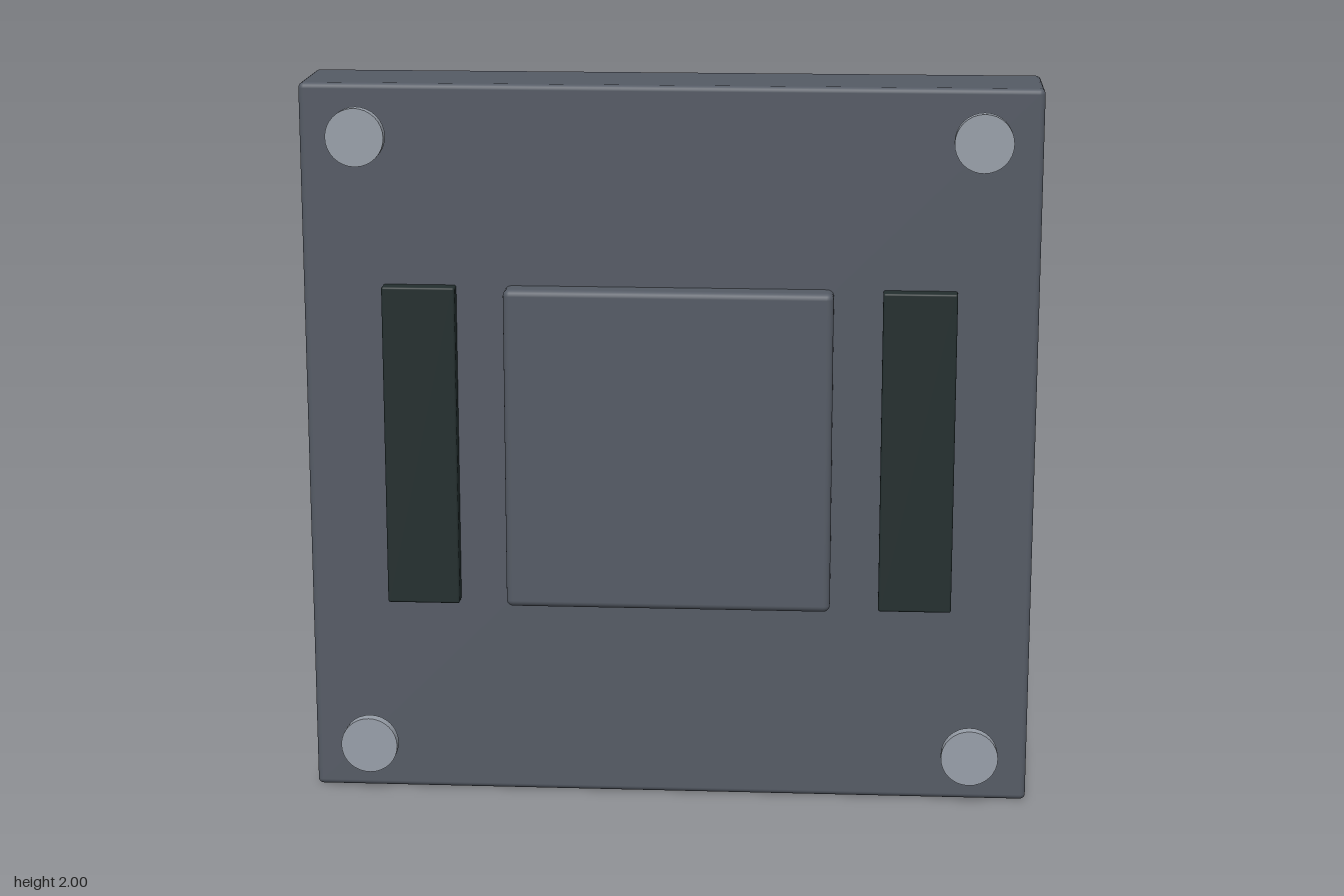
import * as THREE from 'three';
import { RoundedBoxGeometry } from 'three/addons/geometries/RoundedBoxGeometry.js';

const mat = (name, color) => {
  const m = new THREE.MeshStandardMaterial({ color });
  m.name = name;
  return m;
};

export function createModel() {
  const group = new THREE.Group();
  const slate = mat('slate grey', 0x555b65);
  const dark = mat('dark green grey', 0x232e2e);
  const metal = mat('light metal', 0x989fa9);

  const add = (name, geometry, material, x, y, z) => {
    const mesh = new THREE.Mesh(geometry, material);
    mesh.name = name;
    mesh.position.set(x, y, z);
    group.add(mesh);
    return mesh;
  };
  // Rounded block spanning z0..z1
  const block = (name, w, h, z0, z1, r, material, x, y) =>
    add(name, new RoundedBoxGeometry(w, h, z1 - z0, 3, r), material, x, y, (z0 + z1) / 2);

  // Main slab, with a thin dark panel on its back
  block('slab', 2, 2, -0.172, 0.111, 0.015, slate, 0, 1);
  block('backPanel', 1.95, 1.95, -0.18, -0.14, 0.006, dark, 0, 1);

  // Raised square in the middle of the front
  block('centrePlate', 0.894, 0.894, 0.06, 0.177, 0.018, slate, 0, 1.005);

  // Side pads and corner discs, mirrored; the discs stand just off the slab
  const discGeometry = new THREE.CylinderGeometry(0.079, 0.079, 0.032, 32).rotateX(Math.PI / 2);
  for (const s of [1, -1]) {
    block('sidePad', 0.2, 0.894, 0.06, 0.154, 0.006, dark, s * 0.68, 1.005);
    for (const y of [0.142, 1.862]) add('cornerDisc', discGeometry, metal, s * 0.84, y, 0.157);
  }
  return group;
}
